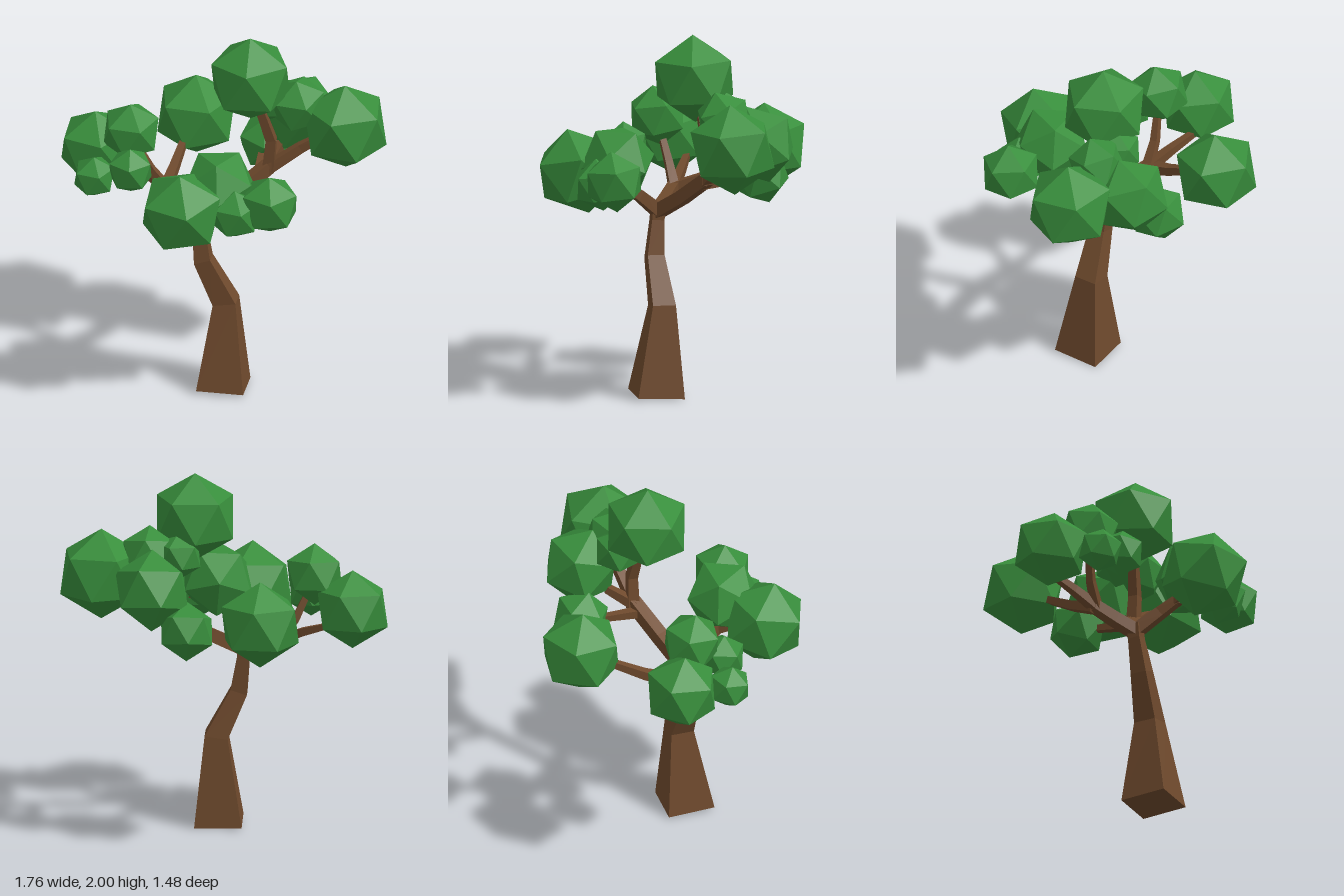
import * as THREE from 'three';

const bark = new THREE.MeshStandardMaterial({ color: 0x6f4a2d, flatShading: true });
const leaf = new THREE.MeshStandardMaterial({ color: 0x388e3c, flatShading: true });

// Square-section limb lofted through points [x, y, z, halfWidth], capped at both ends
function limb(name, points) {
  const p = points.map(([x, y, z]) => new THREE.Vector3(x, y, z));
  const n = p.length;
  const overall = p[n - 1].clone().sub(p[0]).normalize();
  const ref = overall.y > 0.8 ? new THREE.Vector3(0, 0, 1) : new THREE.Vector3(0, 1, 0);
  const rings = p.map((c, i) => {
    const t = p[Math.min(i + 1, n - 1)].clone().sub(p[Math.max(i - 1, 0)]).normalize();
    const side = new THREE.Vector3().crossVectors(t, ref).normalize();
    const up = new THREE.Vector3().crossVectors(t, side);
    return [[1, 1], [-1, 1], [-1, -1], [1, -1]].map(([a, b]) =>
      c.clone().addScaledVector(side, a * points[i][3]).addScaledVector(up, b * points[i][3]));
  });
  const pos = [];
  const quad = (a, b, c, d) => [a, b, c, a, c, d].forEach(v => pos.push(v.x, v.y, v.z));
  for (let i = 0; i < n - 1; i++) {
    for (let k = 0; k < 4; k++) {
      const m = (k + 1) % 4;
      quad(rings[i][k], rings[i][m], rings[i + 1][m], rings[i + 1][k]);
    }
  }
  const [s, e] = [rings[0], rings[n - 1]];
  quad(s[3], s[2], s[1], s[0]);
  quad(e[0], e[1], e[2], e[3]);
  const geo = new THREE.BufferGeometry();
  geo.setAttribute('position', new THREE.Float32BufferAttribute(pos, 3));
  geo.computeVertexNormals();
  const mesh = new THREE.Mesh(geo, bark);
  mesh.name = name;
  return mesh;
}

// Faceted leaf ball standing on a corner, then tilted and turned
function leafBall([x, y, z, r, turn = 0, tilt = 0]) {
  const geo = new THREE.IcosahedronGeometry(r, 0);
  geo.rotateZ(-Math.atan2(2, 1 + Math.sqrt(5)));
  geo.rotateY(-Math.PI / 2 + turn);
  geo.rotateX(tilt);
  const mesh = new THREE.Mesh(geo, leaf);
  mesh.name = 'leafBall';
  mesh.position.set(x, y, z);
  return mesh;
}

export function createModel() {
  const tree = new THREE.Group();
  tree.name = 'tree';

  // Bent, tapering trunk
  tree.add(limb('trunk', [
    [0.04, 0.012, 0.12, 0.128],
    [0.05, 0.5, 0.092, 0.063],
    [-0.07, 0.745, 0.107, 0.046],
    [-0.095, 0.94, 0.087, 0.034],
    [-0.095, 1.02, 0.08, 0.034],
  ]));

  // Branches: each main fork and its twigs
  const branches = new THREE.Group();
  branches.name = 'branches';
  const fork = [-0.095, 0.985, 0.08];
  [
    ['rightBranch', [[...fork, 0.034], [-0.2, 1.03, 0.01], [-0.31, 1.08, -0.06, 0.03]]],
    ['rightTwig', [[-0.29, 1.07, -0.05, 0.028], [-0.42, 1.14, -0.12], [-0.55, 1.19, -0.18, 0.016]]],
    ['rightUpperTwig', [[-0.29, 1.07, -0.05, 0.026], [-0.38, 1.19, -0.04], [-0.46, 1.36, -0.01, 0.015]]],
    ['rightBackTwig', [[-0.3, 1.07, -0.06, 0.03], [-0.28, 1.12, -0.2], [-0.25, 1.21, -0.38, 0.018]]],
    ['frontBranch', [[...fork, 0.034], [-0.04, 1.09, 0.2], [-0.01, 1.17, 0.31, 0.024]]],
    ['frontTwig', [[-0.02, 1.15, 0.29, 0.024], [0.04, 1.19, 0.4], [0.12, 1.22, 0.5, 0.015]]],
    ['frontRightTwig', [[-0.02, 1.15, 0.29, 0.024], [-0.08, 1.2, 0.44, 0.018]]],
    ['frontLeftTwig', [[-0.01, 1.16, 0.3, 0.022], [0.27, 1.22, 0.39, 0.015]]],
    ['leftBranch', [[...fork, 0.036], [0.08, 1.09, -0.01], [0.25, 1.22, -0.11, 0.034]]],
    ['leftUpperTwig', [[0.25, 1.2, -0.11, 0.032], [0.265, 1.38, -0.11], [0.21, 1.56, -0.09, 0.022]]],
    ['leftOuterTwig', [[0.23, 1.2, -0.1, 0.03], [0.42, 1.33, -0.14], [0.55, 1.41, -0.15, 0.02]]],
    ['leftBackTwig', [[0.24, 1.21, -0.1, 0.028], [0.3, 1.3, -0.24, 0.02]]],
    ['leftLowerTwig', [[0.2, 1.18, -0.08, 0.024], [0.18, 1.2, -0.33, 0.016]]],
  ].forEach(([name, pts]) => {
    // Middle points take the mean width
    const mid = (pts[0][3] + pts[pts.length - 1][3]) / 2;
    branches.add(limb(name, pts.map(([x, y, z, w = mid]) => [x, y, z, w])));
  });
  tree.add(branches);

  // Leaf balls: x, y, z, radius, turn, tilt
  const crown = new THREE.Group();
  crown.name = 'crown';
  [
    // top and left
    [0.16, 1.76, -0.06, 0.24, 0.05, 0.03],
    [0.66, 1.465, -0.16, 0.247, -0.2, 0.05],
    [0.38, 1.43, -0.36, 0.22, 0.3, 0.3],
    [0.4, 1.575, -0.17, 0.16, 0.5, 0.3],
    [0.24, 1.58, -0.2, 0.13, 0.2, 0.1],
    [0.19, 1.22, -0.42, 0.16, 0.1, 0.3],
    // back
    [-0.21, 1.295, -0.54, 0.235, 0.5, 0.05],
    // front
    [0.055, 1.3, 0.34, 0.21, 0.1, 0.6],
    [-0.125, 1.22, 0.515, 0.24, 0.3, 0.25],
    [0.34, 1.25, 0.42, 0.168, 0.2, 0.1],
    [0.16, 1.2, 0.46, 0.145, 0.4, 0.15],
    // right
    [-0.69, 1.27, -0.12, 0.212, 0.3, 0.1],
    [-0.48, 1.43, 0, 0.167, 0.5, 0.15],
    [-0.455, 1.28, 0.18, 0.13, 0.1, 0.1],
    [-0.655, 1.22, 0.16, 0.122, 0.4, 0.15],
  ].forEach(b => crown.add(leafBall(b)));
  tree.add(crown);

  return tree;
}
